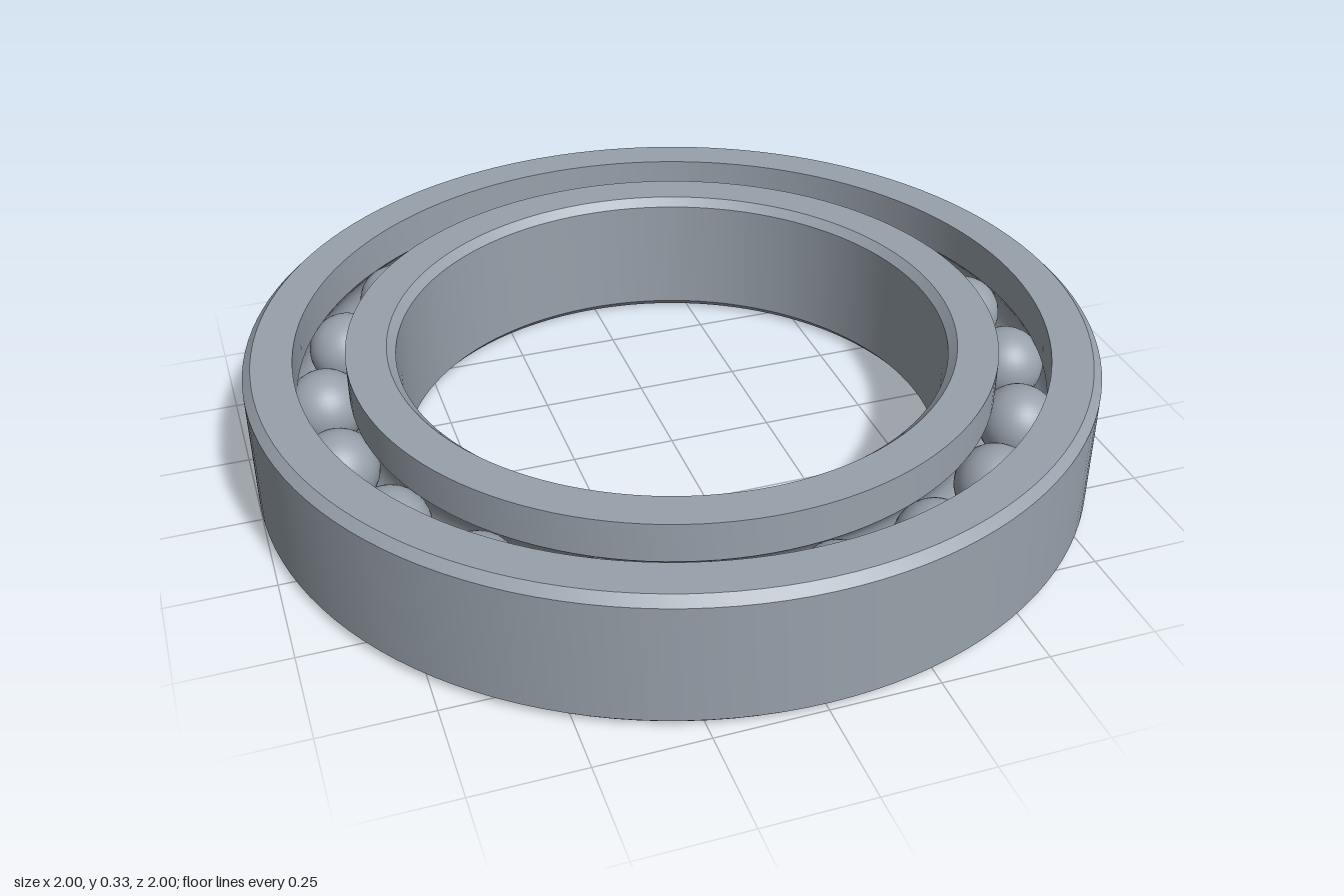
import * as THREE from 'three';
import { toCreasedNormals } from 'three/addons/utils/BufferGeometryUtils.js';

const HEIGHT = 0.33, MID = HEIGHT / 2, CHAMFER = 0.02;
const PITCH = 0.825, BALL_RADIUS = 0.092, BALL_COUNT = 20;
const HALF_GAP = 0.06; // radial distance from the pitch circle to each ring wall

// Groove arc following the balls; side is +1 on the outer ring, -1 on the inner
function groove(side) {
  const half = Math.acos(HALF_GAP / BALL_RADIUS), steps = 12, points = [];
  for (let i = 0; i <= steps; i++) {
    const a = half * (1 - (2 * i) / steps);
    points.push([PITCH + side * BALL_RADIUS * Math.cos(a), MID + side * BALL_RADIUS * Math.sin(a)]);
  }
  return points;
}

function ring(name, profile, material) {
  const points = [...profile, profile[0]].map(([r, y]) => new THREE.Vector2(r, y));
  const mesh = new THREE.Mesh(toCreasedNormals(new THREE.LatheGeometry(points, 128), 0.5), material);
  mesh.name = name;
  return mesh;
}

export function createModel() {
  const group = new THREE.Group();
  group.name = 'ballBearing';
  const steel = new THREE.MeshStandardMaterial({ color: 0x98a1ab });
  steel.name = 'steel';

  // Outer ring: chamfered outside, grooved inside
  const wallOut = PITCH + HALF_GAP;
  group.add(ring('outerRing', [
    [1 - CHAMFER, 0], [1, CHAMFER], [1, HEIGHT - CHAMFER], [1 - CHAMFER, HEIGHT],
    [wallOut, HEIGHT], ...groove(1), [wallOut, 0],
  ], steel));

  // Inner ring: grooved outside, chamfered bore
  const wallIn = PITCH - HALF_GAP, bore = 0.65;
  group.add(ring('innerRing', [
    [bore + CHAMFER, 0], [wallIn, 0], ...groove(-1), [wallIn, HEIGHT],
    [bore + CHAMFER, HEIGHT], [bore, HEIGHT - CHAMFER], [bore, CHAMFER],
  ], steel));

  // Balls spaced evenly around the race
  const balls = new THREE.Group();
  balls.name = 'balls';
  const ballGeometry = new THREE.SphereGeometry(BALL_RADIUS, 32, 20);
  for (let i = 0; i < BALL_COUNT; i++) {
    const angle = -0.108 + (i * 2 * Math.PI) / BALL_COUNT;
    const ball = new THREE.Mesh(ballGeometry, steel);
    ball.name = 'ball';
    ball.position.set(PITCH * Math.cos(angle), MID, PITCH * Math.sin(angle));
    balls.add(ball);
  }
  group.add(balls);
  return group;
}
